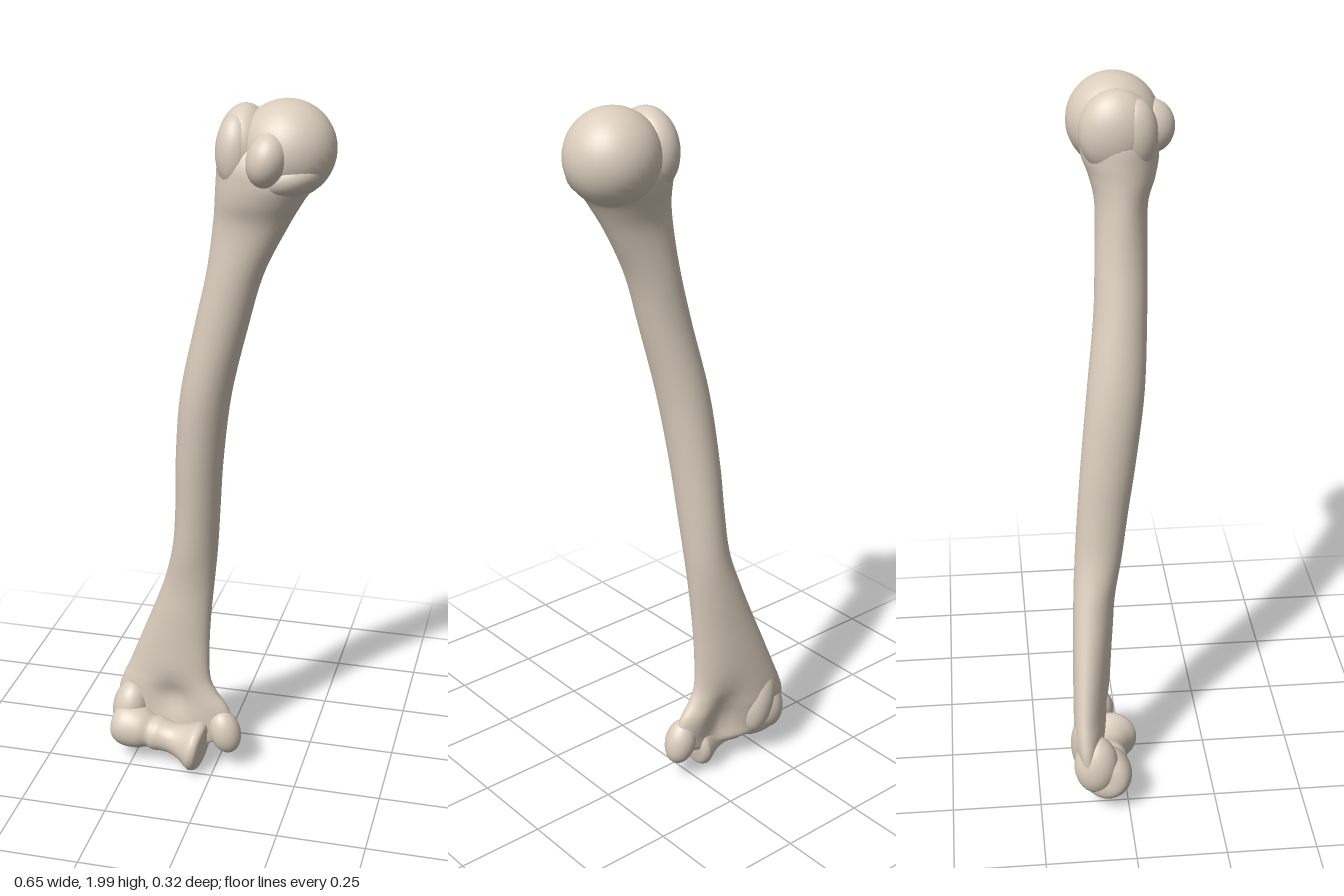
import * as THREE from 'three';

const bone = new THREE.MeshStandardMaterial({ color: 0xdacdbd });

// Shaft stations: y, xRight(-), xLeft(+), zFront, zBack, skew (z gained toward +x)
const STATIONS = [
  [0.075, -0.20, -0.06, -0.05, -0.09, 0.01],
  [0.09, -0.27, 0.01, -0.05, -0.12, 0.02],
  [0.13, -0.31, 0.05, -0.045, -0.13, 0.025],
  [0.20, -0.312, 0.035, -0.04, -0.147, 0.025],
  [0.25, -0.297, 0.0, -0.04, -0.15, 0.025],
  [0.30, -0.275, -0.02, -0.04, -0.15, 0.025],
  [0.40, -0.235, -0.022, -0.035, -0.147, 0.022],
  [0.50, -0.195, -0.017, -0.028, -0.143, 0.018],
  [0.60, -0.158, -0.008, -0.02, -0.139, 0.012],
  [0.72, -0.126, 0.003, 0, -0.131, 0],
  [0.85, -0.113, 0.013, 0.018, -0.122, 0],
  [1.00, -0.106, 0.025, 0.04, -0.11, 0],
  [1.20, -0.086, 0.052, 0.065, -0.09, 0],
  [1.40, -0.042, 0.10, 0.075, -0.067, 0],
  [1.55, -0.008, 0.142, 0.079, -0.06, 0],
  [1.68, 0.01, 0.205, 0.083, -0.056, 0],
  [1.75, 0.016, 0.245, 0.105, -0.07, 0],
  [1.80, 0.018, 0.275, 0.115, -0.088, 0],
  [1.85, 0.022, 0.26, 0.11, -0.09, 0],
  [1.92, 0.04, 0.2, 0.07, -0.06, 0],
];

const bump = (x, y, cx, cy, rx, ry) => Math.exp(-(((x - cx) / rx) ** 2) - ((y - cy) / ry) ** 2);

// Closed loft through the stations, with hollows pressed in above the elbow joint
function shaftGeometry(rings = 90, segs = 40) {
  const a = new THREE.CatmullRomCurve3(STATIONS.map(s => new THREE.Vector3(s[1], s[0], s[2])), false, 'catmullrom', 0.5);
  const b = new THREE.CatmullRomCurve3(STATIONS.map(s => new THREE.Vector3(s[3], s[4], s[5])), false, 'catmullrom', 0.5);
  const pos = [], idx = [];
  for (let i = 0; i <= rings; i++) {
    const p = a.getPoint(i / rings), q = b.getPoint(i / rings), y = p.y;
    for (let j = 0; j < segs; j++) {
      const t = j / segs * Math.PI * 2, c = Math.cos(t), s = Math.sin(t);
      const x = (p.x + p.z) / 2 + (p.z - p.x) / 2 * c;
      const half = Math.sqrt(Math.max(1e-5, ((q.x - q.y) / 2) ** 2 - q.z ** 2));
      let z = (q.x + q.y) / 2 + q.z * c + half * s;
      // front and back hollows
      if (s > 0) z -= 0.03 * s * bump(x, y, -0.13, 0.215, 0.06, 0.06);
      else z -= 0.045 * s * bump(x, y, -0.1, 0.18, 0.06, 0.09);
      pos.push(x, y, z);
    }
  }
  for (let i = 0; i < rings; i++) for (let j = 0; j < segs; j++) {
    const k = (j + 1) % segs, m = i * segs, n = m + segs;
    idx.push(m + j, n + j, m + k, m + k, n + j, n + k);
  }
  // end caps
  for (const [ring, top] of [[0, false], [rings, true]]) {
    const m = ring * segs, c = pos.length / 3, s = [0, 0, 0];
    for (let j = 0; j < segs; j++) for (let d = 0; d < 3; d++) s[d] += pos[(m + j) * 3 + d] / segs;
    pos.push(...s);
    for (let j = 0; j < segs; j++) {
      const k = (j + 1) % segs;
      top ? idx.push(c, m + k, m + j) : idx.push(c, m + j, m + k);
    }
  }
  const g = new THREE.BufferGeometry();
  g.setAttribute('position', new THREE.Float32BufferAttribute(pos, 3));
  g.setIndex(idx);
  g.computeVertexNormals();
  return g;
}

export function createModel() {
  const group = new THREE.Group();
  const add = (name, geo) => {
    const m = new THREE.Mesh(geo, bone);
    m.name = name;
    group.add(m);
    return m;
  };
  const knob = (name, center, radii, tilt = [0, 0, 0]) => {
    const m = add(name, new THREE.SphereGeometry(1, 32, 20));
    m.position.set(...center);
    m.scale.set(...radii);
    m.rotation.set(...tilt);
  };

  add('shaft', shaftGeometry());

  // Upper end: ball, neck rim and the two tubercles
  knob('head', [0.197, 1.876, 0], [0.125, 0.124, 0.123]);
  knob('neckRim', [0.205, 1.815, 0.03], [0.095, 0.055, 0.09], [0, 0, 0.25]);
  knob('greaterTubercle', [0.088, 1.875, 0], [0.07, 0.11, 0.098]);
  knob('greaterTubercleFront', [0.075, 1.87, 0.045], [0.052, 0.095, 0.06]);
  knob('lesserTubercle', [0.165, 1.865, 0.095], [0.052, 0.07, 0.064], [0, 0, -0.2]);

  // Lower joint: pulley-shaped spool running from side to side
  const from = new THREE.Vector3(-0.312, 0.12, -0.065), to = new THREE.Vector3(-0.03, 0.08, -0.03);
  const axis = to.clone().sub(from), length = axis.length();
  const profile = [[0.03, 0], [0.052, 0.03], [0.066, 0.11], [0.068, 0.22], [0.062, 0.33], [0.05, 0.42], [0.053, 0.49],
    [0.048, 0.58], [0.047, 0.67], [0.056, 0.78], [0.072, 0.88], [0.076, 0.93], [0.066, 0.985], [0.035, 1]];
  const curve = new THREE.SplineCurve([[0, 0], ...profile, [0, 1]].map(([r, t]) => new THREE.Vector2(r, t * length)));
  const points = curve.getPoints(60).map(p => new THREE.Vector2(Math.max(0, p.x), p.y));
  const joint = add('elbowJoint', new THREE.LatheGeometry(points, 40));
  joint.position.copy(from);
  joint.quaternion.setFromUnitVectors(new THREE.Vector3(0, 1, 0), axis.normalize());

  // Side knobs above the joint
  knob('outerEpicondyle', [-0.268, 0.155, -0.092], [0.055, 0.085, 0.062], [0, 0, -0.15]);
  knob('outerRearRidge', [-0.225, 0.2, -0.115], [0.05, 0.11, 0.045], [0, 0, 0.2]);
  knob('innerEpicondyle', [0.028, 0.127, -0.06], [0.046, 0.068, 0.044], [0, 0, 0.25]);
  return group;
}
